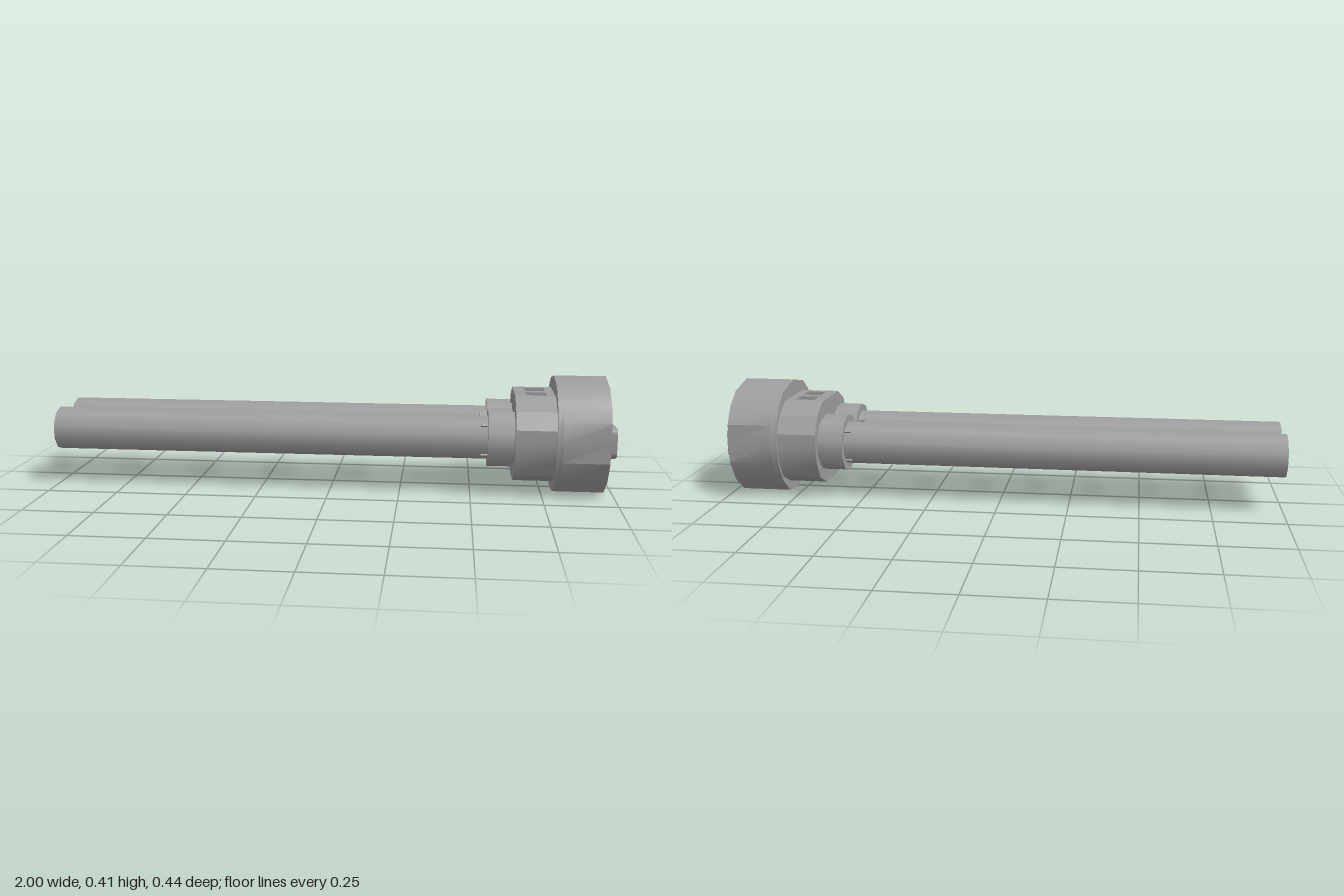
import * as THREE from 'three';
import { toCreasedNormals } from 'three/addons/utils/BufferGeometryUtils.js';

const darkGrey = new THREE.MeshStandardMaterial({ color: 0x9e9e9e });
const darkGreyThin = new THREE.MeshStandardMaterial({ color: 0x9e9e9e, side: THREE.DoubleSide });

const toPoints = list => list.map(([u, v]) => new THREE.Vector2(u, v));

// Clockwise outline points, symmetric about the vertical axis, from half a profile (top to bottom)
function mirrored(half) {
  const left = half.filter(([u]) => u > 0).reverse().map(([u, v]) => [-u, v]);
  return toPoints([...half, ...left]);
}

// Extrude an outline drawn in the (-z, y) plane along x
function alongX(name, shape, x0, x1) {
  const geo = new THREE.ExtrudeGeometry(shape, { depth: x1 - x0, bevelEnabled: false, curveSegments: 4 });
  geo.rotateY(Math.PI / 2).translate(x0, 0, 0);
  const mesh = new THREE.Mesh(toCreasedNormals(geo, 0.5), darkGrey);
  mesh.name = name;
  return mesh;
}

// Ten-sided smooth cylinder lying along x, with a corner at the top
function barrel(name, radius, x0, x1, open, material) {
  const geo = new THREE.CylinderGeometry(radius, radius, x1 - x0, 10, 1, open, Math.PI / 2);
  geo.rotateZ(Math.PI / 2).translate((x0 + x1) / 2, 0, 0);
  const mesh = new THREE.Mesh(geo, material);
  mesh.name = name;
  return mesh;
}

const rectangle = (x0, y0, x1, y1) => toPoints([[x0, y0], [x1, y0], [x1, y1], [x0, y1]]);

// Rounded contact block with a shallow key along its lower edge
function pinShape(c) {
  const w = 0.053, r = 0.018, top = 0.247, low = 0.146, key = 0.138;
  const s = new THREE.Shape();
  s.moveTo(c - 0.026, key).lineTo(c + 0.026, key).lineTo(c + 0.033, low).lineTo(c + w - r, low);
  s.quadraticCurveTo(c + w, low, c + w, low + r).lineTo(c + w, top - r);
  s.quadraticCurveTo(c + w, top, c + w - r, top).lineTo(c - w + r, top);
  s.quadraticCurveTo(c - w, top, c - w, top - r).lineTo(c - w, low + r);
  s.quadraticCurveTo(c - w, low, c - w + r, low).lineTo(c - 0.033, low);
  s.closePath();
  return s;
}

export function createModel() {
  const model = new THREE.Group();
  model.name = 'twinCableConnector';

  // Faceted head: open rim plus a closed back wall
  const outer = [[0, 0.41], [0.115, 0.385], [0.175, 0.34], [0.211, 0.28], [0.221, 0.21],
    [0.211, 0.14], [0.165, 0.065], [0.09, 0.008], [0, 0.001]];
  const inner = [[0.085, 0.37], [0.105, 0.37], [0.165, 0.327], [0.194, 0.272], [0.199, 0.21],
    [0.194, 0.145], [0.154, 0.075], [0.085, 0.037], [0, 0.032]];
  const rimShape = new THREE.Shape(mirrored(outer));
  rimShape.holes.push(new THREE.Path(mirrored(inner).reverse()));
  const rim = alongX('headRim', rimShape, 0.81, 0.97);
  // The widest side corners draw in slightly towards the mouth
  const pos = rim.geometry.attributes.position;
  for (let i = 0; i < pos.count; i++) {
    if (pos.getX(i) > 0.9 && Math.abs(pos.getZ(i)) > 0.215) pos.setZ(i, Math.sign(pos.getZ(i)) * 0.212);
  }
  rim.geometry = toCreasedNormals(rim.geometry, 0.5);
  model.add(rim);
  model.add(alongX('headBackWall', new THREE.Shape(mirrored(outer)), 0.79, 0.81));

  // Collar behind the head
  const collar = [[0.127, 0.335], [0.172, 0.31], [0.208, 0.25], [0.21, 0.2], [0.2, 0.14],
    [0.16, 0.08], [0.09, 0.045], [0, 0.04]];
  model.add(alongX('collar', new THREE.Shape(mirrored(collar)), 0.65, 0.79));

  // Raised top plate with two shallow windows and sloping shoulders
  const plate = new THREE.Shape(rectangle(0.65, -0.1, 0.79, 0.1));
  for (const side of [-1, 1]) {
    const z = side * 0.045;
    plate.holes.push(new THREE.Path(rectangle(0.69, z - 0.03, 0.76, z + 0.03)));
    const shoulder = new THREE.Shape(toPoints([[side * 0.1, 0.335], [side * 0.127, 0.335], [side * 0.1, 0.35]]));
    model.add(alongX('collarShoulder', shoulder, 0.65, 0.79));
  }
  const plateGeo = new THREE.ExtrudeGeometry(plate, { depth: 0.015, bevelEnabled: false });
  plateGeo.rotateX(-Math.PI / 2).translate(0, 0.335, 0);
  const plateMesh = new THREE.Mesh(plateGeo, darkGrey);
  plateMesh.name = 'windowPlate';
  model.add(plateMesh);

  for (const side of [-1, 1]) {
    // Contact pin inside the head
    model.add(alongX('contactPin', pinShape(side * 0.0955), 0.805, 1));

    // Cable with its ferrule, neck and grip tabs
    const line = new THREE.Group();
    line.name = side > 0 ? 'frontCable' : 'backCable';
    line.position.set(0, 0.2, side * 0.095);
    line.add(barrel('cable', 0.078, -1, 0.6, true, darkGreyThin));
    line.add(barrel('ferrule', 0.104, 0.557, 0.642, false, darkGrey));
    line.add(barrel('neck', 0.092, 0.64, 0.66, false, darkGrey));
    for (let i = 0; i < 4; i++) {
      const tab = new THREE.Mesh(new THREE.BoxGeometry(0.03, 0.012, 0.012), darkGrey);
      tab.name = 'gripTab';
      tab.geometry.translate(0.548, 0.074, 0);
      tab.rotation.x = Math.PI / 4 + i * Math.PI / 2;
      line.add(tab);
    }
    model.add(line);
  }
  return model;
}
